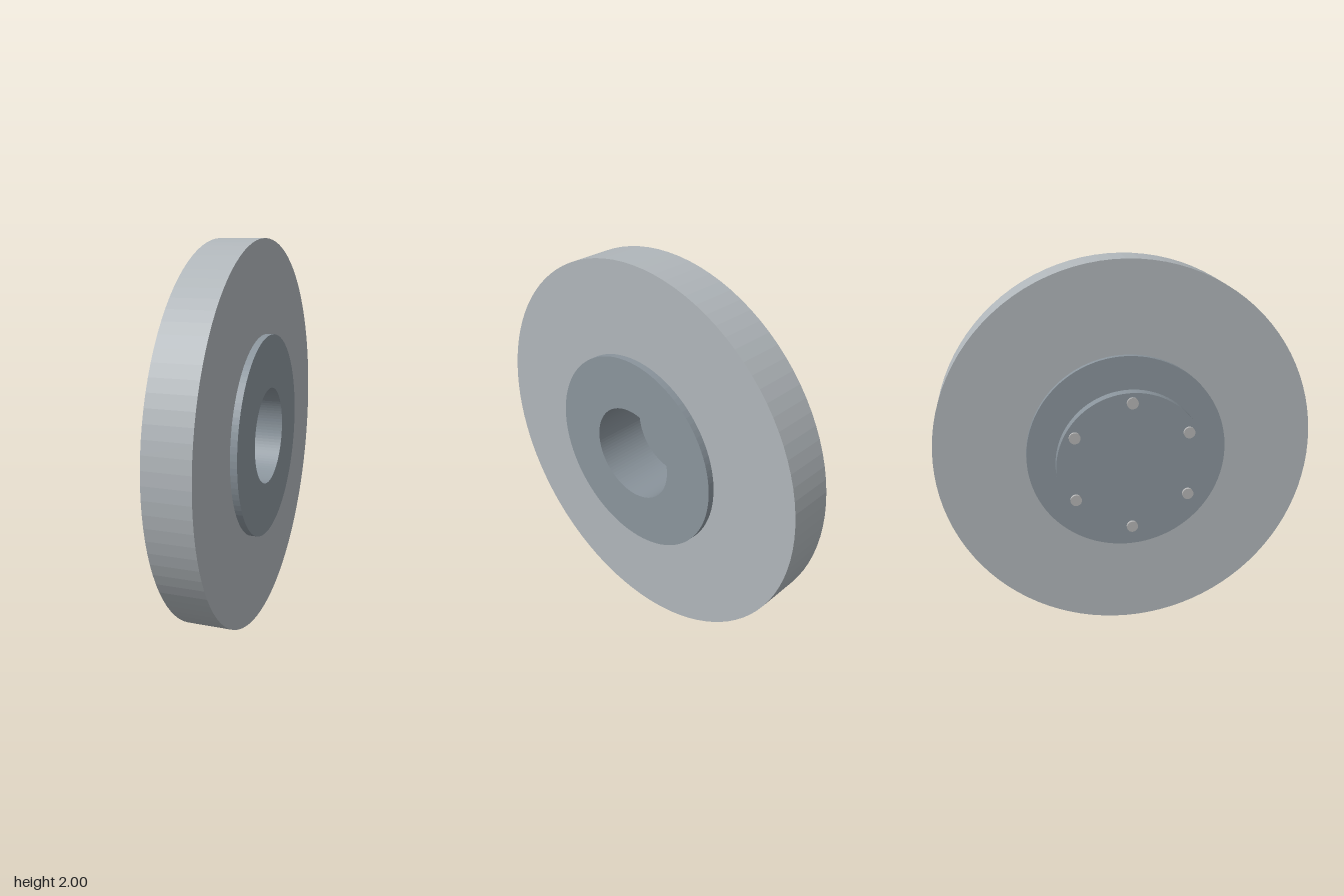
import * as THREE from 'three';

const SEGMENTS = 96;

export function createModel() {
  const material = (name, color) => {
    const m = new THREE.MeshStandardMaterial({ color, flatShading: true });
    m.name = name;
    return m;
  };
  const paleSteel = material('pale steel', 0xb0b6ba);
  const blueSteel = material('blue steel', 0x8a949c);
  const boltSteel = material('bolt steel', 0xb4b4b4);

  // Everything turns about the x axis at height 1
  const wheel = new THREE.Group();
  wheel.name = 'wheel';
  wheel.position.y = 1;

  const add = (name, geometry, mat, x = 0, y = 0, z = 0) => {
    geometry.rotateZ(-Math.PI / 2);
    const mesh = new THREE.Mesh(geometry, mat);
    mesh.name = name;
    mesh.position.set(x, y, z);
    wheel.add(mesh);
  };

  // Solid disc between two x positions
  const disc = (name, radius, x0, x1, mat, y = 0, z = 0, sides = SEGMENTS) =>
    add(name, new THREE.CylinderGeometry(radius, radius, x1 - x0, sides), mat, (x0 + x1) / 2, y, z);

  // Ring with a square section between two x positions
  const ring = (name, inner, outer, x0, x1, mat) => {
    const profile = [[inner, x0], [outer, x0], [outer, x1], [inner, x1], [inner, x0]];
    add(name, new THREE.LatheGeometry(profile.map(([r, x]) => new THREE.Vector2(r, x)), SEGMENTS), mat);
  };

  ring('grindingDisc', 0.5, 1, -0.027, 0.205, paleSteel);
  ring('clampCollar', 0.25, 0.525, -0.058, 0.24, blueSteel);

  // Solid hub closes the far end of the bore
  disc('hub', 0.25, -0.18, -0.057, blueSteel);
  disc('flange', 0.383, -0.23, -0.17, blueSteel);

  // Six bolts through the flange
  for (let i = 0; i < 6; i++) {
    const a = (i * Math.PI) / 3;
    disc('bolt', 0.029, -0.245, -0.16, boltSteel, Math.cos(a) * 0.333, Math.sin(a) * 0.333, 24);
  }

  const model = new THREE.Group();
  model.name = 'flangedWheel';
  model.add(wheel);
  return model;
}
